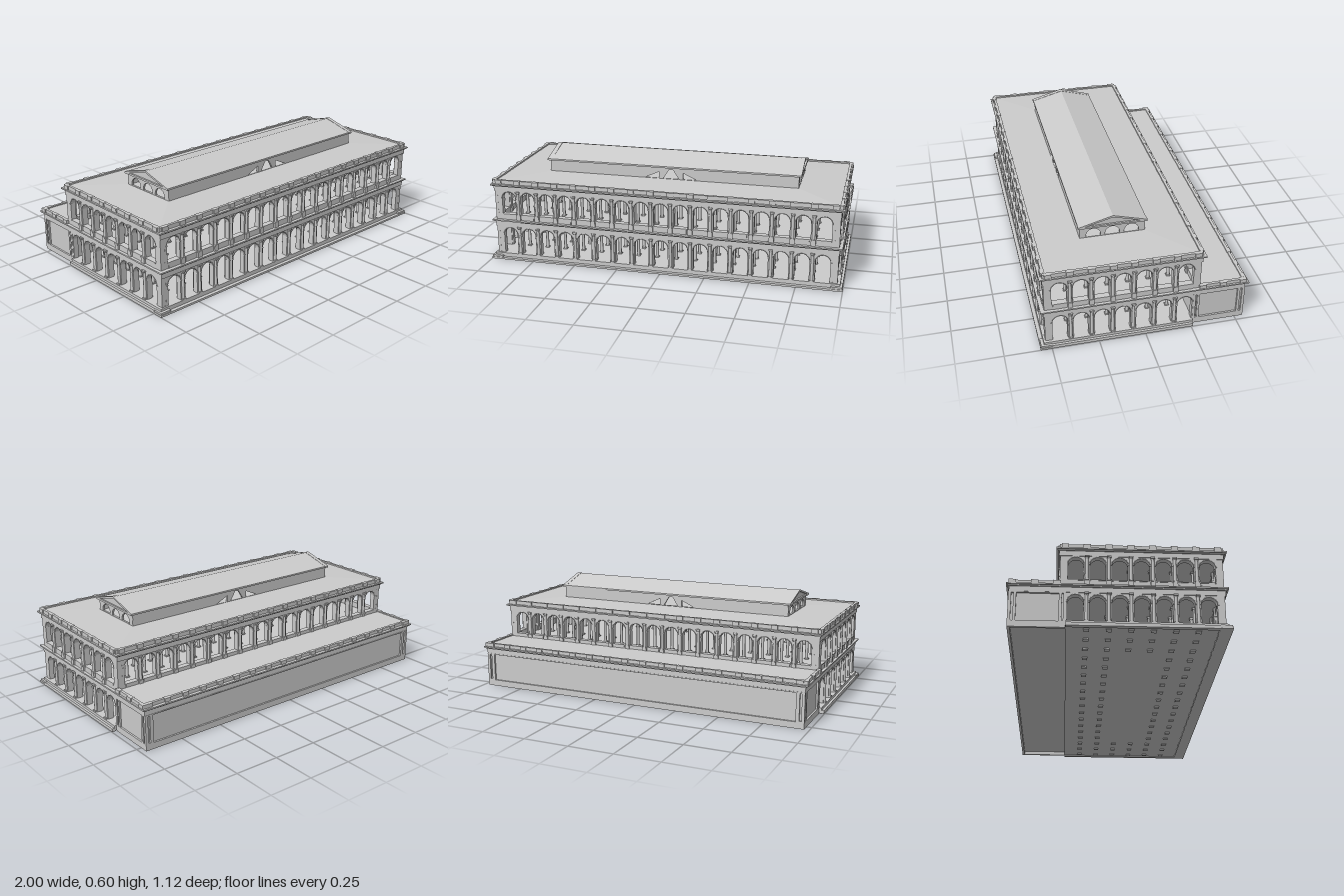
import * as THREE from 'three';

const BAY = 0.111, ZC = 0.1175;
const mat = new THREE.MeshStandardMaterial({ color: 0xcccccc, side: THREE.DoubleSide });

function add(parent, name, geo, x = 0, y = 0, z = 0) {
  const m = new THREE.Mesh(geo, mat);
  m.name = name;
  m.position.set(x, y, z);
  parent.add(m);
  return m;
}

// Box given by its limits
function box(parent, name, x0, x1, y0, y1, z0, z1) {
  return add(parent, name, new THREE.BoxGeometry(x1 - x0, y1 - y0, z1 - z0),
    (x0 + x1) / 2, (y0 + y1) / 2, (z0 + z1) / 2);
}

function poly(points, T = THREE.Shape) {
  return new T(points.map(([x, y]) => new THREE.Vector2(x, y)));
}

function rect(x0, x1, y0, y1, T = THREE.Shape) {
  return poly([[x0, y0], [x1, y0], [x1, y1], [x0, y1]], T);
}

function archHole(cx, r, y0, spring) {
  const p = new THREE.Path();
  p.moveTo(cx - r, y0);
  p.lineTo(cx + r, y0);
  p.lineTo(cx + r, spring);
  p.absarc(cx, spring, r, 0, Math.PI, false);
  p.lineTo(cx - r, y0);
  return p;
}

// Extrusion whose outer face lies at local z = 0
function slab(shape, depth) {
  return new THREE.ExtrudeGeometry(shape, { depth, bevelEnabled: false, curveSegments: 8 })
    .translate(0, 0, -depth);
}

// Round column with square plinth and capital
function column(parent, x, y0, y1, z, r) {
  const g = new THREE.Group();
  g.name = 'column';
  const h = y1 - y0;
  add(g, 'shaft', new THREE.CylinderGeometry(r * 0.85, r, h, 10), 0, h / 2, 0);
  box(g, 'plinth', -r * 1.25, r * 1.25, 0, 0.008, -r * 1.25, r * 1.25);
  box(g, 'capital', -r * 1.25, r * 1.25, h - 0.008, h, -r * 1.25, r * 1.25);
  add(g, 'necking', new THREE.CylinderGeometry(r * 1.2, r * 0.9, 0.006, 10), 0, h - 0.013, 0);
  g.position.set(x, y0, z);
  parent.add(g);
}

// One storey of one facade: pierced wall, archivolts, imposts, columns, sunk corner panels
function arcade(parent, n, half, y0, y1, spring, sill, balustrade) {
  const g = new THREE.Group();
  g.name = 'arcade';
  const r = 0.04, wall = rect(-half, half, y0, y1);
  for (let i = 0; i < n; i++) {
    const cx = (i - (n - 1) / 2) * BAY;
    wall.holes.push(archHole(cx, r, sill, spring));
    add(g, 'archivolt', new THREE.TorusGeometry(r + 0.002, 0.002, 4, 10, Math.PI), cx, spring, 0);
    for (const s of [-1, 1])
      add(g, 'impost', new THREE.BoxGeometry(0.01, 0.005, 0.034), cx + s * (r + 0.0045), spring, -0.014);
    if (balustrade) {
      box(g, 'balustradePanel', cx - 0.034, cx + 0.034, y0, sill - 0.005, -0.006, 0.002);
      box(g, 'balustradeRail', cx - r, cx + r, sill - 0.005, sill, -0.03, 0.004);
    }
  }
  for (const s of [-1, 1]) {
    const c = s * (n / 2 * BAY + 0.005);
    wall.holes.push(rect(c - 0.006, c + 0.006, sill + 0.005, y1 - 0.006, THREE.Path));
    box(g, 'cornerPanel', c - 0.008, c + 0.008, sill, y1 - 0.002, -0.029, -0.008);
  }
  add(g, 'wall', slab(wall, 0.03));
  for (let i = 1; i < n; i++) {
    const x = (i - n / 2) * BAY, base = balustrade ? sill - 0.006 : sill;
    box(g, 'pedestal', x - 0.013, x + 0.013, y0, base, -0.005, 0.01);
    column(g, x, base, y1, 0.001, 0.009);
    box(g, 'innerPilaster', x - 0.011, x + 0.011, y0, y1, -0.038, -0.029);
  }
  parent.add(g);
  return g;
}

// Frieze and stepped cornice over a rectangle
function entablature(parent, z0, z1, y0, y1) {
  const h = y1 - y0;
  [[0.003, 0, 0.68], [0.01, 0.68, 0.82], [0.018, 0.82, 1]].forEach(([o, a, b], i) =>
    box(parent, i ? 'cornice' : 'frieze', -0.97 - o, 0.97 + o, y0 + h * a, y0 + h * b, z0 - o, z1 + o));
}

// Straight parapet with projecting pedestals; the outward side is local +z
function parapet(parent, n, half, y0, y1) {
  const g = new THREE.Group();
  g.name = 'parapet';
  box(g, 'parapetWall', -half, half, y0, y1, -0.015, 0);
  for (let i = 0; i <= n; i++) {
    const x = (i - n / 2) * BAY;
    box(g, 'parapetPedestal', x - 0.018, x + 0.018, y0, y1 + 0.001, -0.016, 0.007);
  }
  parent.add(g);
  return g;
}

// Very shallow hipped deck: outer rectangle low, inner rectangle high
function hippedDeck(parent, name, outer, inner, yo, yi) {
  const ring = ([x, z0, z1], y) => [-x, y, z1, x, y, z1, x, y, z0, -x, y, z0];
  const geo = new THREE.BufferGeometry();
  geo.setAttribute('position', new THREE.Float32BufferAttribute([...ring(outer, yo), ...ring(inner, yi)], 3));
  const index = [4, 5, 6, 4, 6, 7];
  for (let i = 0; i < 4; i++) {
    const j = (i + 1) % 4;
    index.push(i, j, j + 4, i, j + 4, i + 4);
  }
  geo.setIndex(index);
  const flat = geo.toNonIndexed();
  flat.computeVertexNormals();
  add(parent, name, flat);
}

function place(g, x, z, turn) {
  g.position.set(x, 0, z);
  g.rotation.y = turn * Math.PI / 2;
}

export function createModel() {
  const root = new THREE.Group();
  root.name = 'arcadedHall';

  // Plinth, front step, side strips and stepped pads at the front corners
  box(root, 'groundFloor', -0.985, 0.985, 0.006, 0.033, -0.262, 0.54);
  box(root, 'frontStep', -1, 1, 0, 0.011, 0.495, 0.56);
  for (const s of [-1, 1]) {
    const span = (a, b) => (s > 0 ? [a, b] : [-b, -a]);
    box(root, 'sideStrip', ...span(0.975, 0.998), 0, 0.018, -0.26, 0.5);
    box(root, 'cornerStep', ...span(0.935, 0.997), 0.011, 0.021, 0.497, 0.556);
  }

  // Arcades of both storeys
  const lower = [0.03, 0.196, 0.145, 0.033, false];
  const upper = [0.235, 0.408, 0.36, 0.27, true];
  for (const storey of [lower, upper]) {
    place(arcade(root, 17, 0.97, ...storey), 0, 0.53, 0);
    if (storey === upper) place(arcade(root, 17, 0.97, ...storey), 0, -0.295, 2);
    for (const s of [-1, 1])
      place(arcade(root, 7, 0.412, ...storey), s * 0.97, ZC, s);
  }

  // Inner columns, two rings standing in line with the piers, and footings under all piers
  const inner = new THREE.Group();
  inner.name = 'innerColumns';
  for (let i = 0; i <= 17; i++)
    for (let j = 0; j <= 7; j++) {
      const ring = Math.min(i, 17 - i, j, 7 - j);
      if (ring > 2) continue;
      const x = (i - 8.5) * BAY, z = ZC + (j - 3.5) * BAY;
      if (j > 0) box(inner, 'footing', x - 0.014, x + 0.014, 0, 0.008, z - 0.014, z + 0.014);
      if (ring === 0) continue;
      column(inner, x, 0.03, 0.196, z, 0.009);
      column(inner, x, 0.235, 0.408, z, 0.009);
    }
  root.add(inner);

  // Rear block with framed panels, hollow underneath
  const rear = new THREE.Group();
  rear.name = 'rearBlock';
  box(rear, 'rearCore', -0.962, 0.962, 0.022, 0.2, -0.537, -0.262);
  const back = rect(-0.972, 0.972, 0, 0.196);
  back.holes.push(rect(-0.925, 0.925, 0.035, 0.19, THREE.Path));
  for (const s of [-1, 1])
    back.holes.push(rect(s * 0.95 - 0.006, s * 0.95 + 0.006, 0.04, 0.188, THREE.Path));
  place(add(rear, 'backFrame', slab(back, 0.014)), 0, -0.547, 2);
  for (const s of [-1, 1]) {
    const side = rect(-0.142, 0.142, 0, 0.196);
    // Sunk panels listed by their limits in z
    for (const [z0, z1] of [[-0.507, -0.297], [-0.532, -0.521], [-0.285, -0.275]]) {
      const a = -s * (z0 + 0.404), b = -s * (z1 + 0.404);
      side.holes.push(rect(Math.min(a, b), Math.max(a, b), 0.035, 0.19, THREE.Path));
    }
    place(add(rear, 'sideFrame', slab(side, 0.014)), s * 0.972, -0.404, s);
  }
  root.add(rear);

  // Floor and roof entablatures
  entablature(root, -0.542, 0.533, 0.195, 0.237);
  entablature(root, -0.298, 0.533, 0.406, 0.448);

  // Parapets of main roof and rear terrace, with their decks
  place(parapet(root, 17, 0.978, 0.447, 0.47), 0, 0.534, 0);
  place(parapet(root, 17, 0.978, 0.447, 0.47), 0, -0.298, 2);
  place(parapet(root, 17, 0.978, 0.236, 0.256), 0, -0.541, 2);
  for (const s of [-1, 1]) {
    place(parapet(root, 7, 0.415, 0.447, 0.47), s * 0.978, ZC, s);
    place(parapet(root, 2, 0.12, 0.236, 0.256), s * 0.978, -0.418, s);
  }
  hippedDeck(root, 'roofDeck', [0.965, -0.285, 0.52], [0.72, -0.055, 0.29], 0.462, 0.471);
  box(root, 'terraceDeck', -0.965, 0.965, 0.236, 0.25, -0.528, -0.3);

  // Roof lantern: long walls with small central vents, arched end walls
  const lantern = new THREE.Group();
  lantern.name = 'lantern';
  for (const s of [-1, 1]) {
    const long = rect(-0.72, 0.72, 0.46, 0.537);
    long.holes.push(poly([[-0.045, 0.473], [0.045, 0.473], [0.012, 0.525], [-0.012, 0.525]], THREE.Path));
    for (const t of [-1, 1])
      long.holes.push(poly([[t * 0.15, 0.473], [t * 0.07, 0.473], [t * 0.07, 0.51]], THREE.Path));
    place(add(lantern, 'lanternSideWall', slab(long, 0.012)), 0, ZC + s * 0.175, s > 0 ? 0 : 2);

    const end = rect(-0.174, 0.174, 0.46, 0.537);
    for (let i = -1; i <= 1; i++) end.holes.push(archHole(i * 0.102, 0.039, 0.474, 0.482));
    place(add(lantern, 'lanternEndWall', slab(end, 0.012)), s * 0.721, ZC, s);

    // Moulded pediment with recessed face
    const frame = poly([[-0.185, 0.535], [0.185, 0.535], [0.185, 0.545], [0, 0.597], [-0.185, 0.545]]);
    frame.holes.push(poly([[-0.15, 0.545], [0.15, 0.545], [0, 0.586]], THREE.Path));
    place(add(lantern, 'pedimentFrame', slab(frame, 0.025)), s * 0.735, ZC, s);
  }
  const roof = poly([[-0.183, 0.535], [0.183, 0.535], [0.183, 0.5445], [0, 0.595], [-0.183, 0.5445]]);
  place(add(lantern, 'gableRoof', slab(roof, 1.45)), 0.725, ZC, 1);
  root.add(lantern);

  return root;
}
